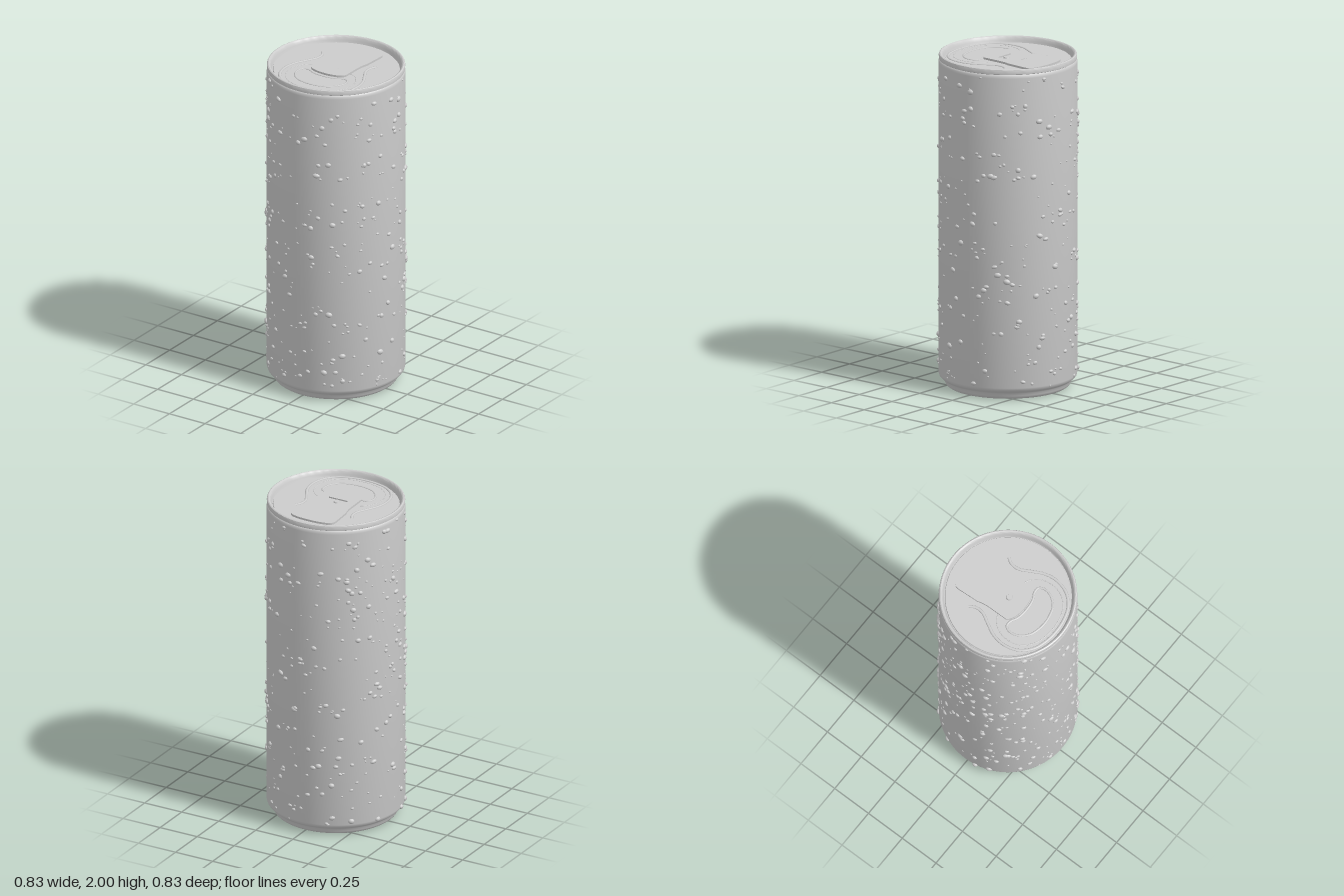
import * as THREE from 'three';
import { mergeGeometries, toCreasedNormals } from 'three/addons/utils/BufferGeometryUtils.js';

const LID_Y = 1.965;
const material = new THREE.MeshStandardMaterial({ color: 0xcccccc });

function addMesh(group, geometry, name) {
  const mesh = new THREE.Mesh(geometry, material);
  mesh.name = name;
  group.add(mesh);
  return mesh;
}

// Turns [radius, height] pairs into a lathed surface with crisp folds
function lathe(profile) {
  const points = profile.map(([r, y]) => new THREE.Vector2(r, y));
  return toCreasedNormals(new THREE.LatheGeometry(points, 96), 0.6);
}

// Low raised bead following [x, z] points on the lid
function bead(points, radius, closed = false) {
  const path = new THREE.CatmullRomCurve3(
    points.map(([x, z]) => new THREE.Vector3(x, 0, z)), closed);
  const geometry = new THREE.TubeGeometry(path, 120, radius, 8, closed);
  return geometry.scale(1, 0.6, 1).translate(0, LID_Y, 0);
}

// Appends the mirrored half of an [x, z] path that ends on the centre line
function mirrored(half) {
  const other = half.slice(0, -1).reverse().map(([x, z]) => [-x, z]);
  return [...half, ...other];
}

function pullTab() {
  // Half outline from the wide lifting end to the rounded nose; shape y = -z
  const s = new THREE.Shape();
  s.moveTo(0, 0.312);
  s.quadraticCurveTo(0.07, 0.312, 0.11, 0.3);
  s.quadraticCurveTo(0.148, 0.29, 0.146, 0.25);
  s.lineTo(0.138, 0.12);
  s.quadraticCurveTo(0.124, 0.08, 0.124, 0.02);
  s.lineTo(0.122, -0.08);
  s.quadraticCurveTo(0.1, -0.122, 0, -0.124);
  s.quadraticCurveTo(-0.1, -0.122, -0.122, -0.08);
  s.lineTo(-0.124, 0.02);
  s.quadraticCurveTo(-0.124, 0.08, -0.138, 0.12);
  s.lineTo(-0.146, 0.25);
  s.quadraticCurveTo(-0.148, 0.29, -0.11, 0.3);
  s.quadraticCurveTo(-0.07, 0.312, 0, 0.312);

  const fingerHole = new THREE.Path();
  fingerHole.absellipse(0, 0.197, 0.077, 0.08, 0, Math.PI * 2, true);
  const window = new THREE.Path();
  window.moveTo(-0.067, -0.036);
  window.lineTo(-0.067, 0.094);
  window.lineTo(0.058, 0.094);
  window.quadraticCurveTo(0.066, 0.094, 0.066, 0.086);
  window.lineTo(0.066, -0.036);
  window.closePath();
  s.holes.push(fingerHole, window);

  const geometry = new THREE.ExtrudeGeometry(s, { depth: 0.012, bevelEnabled: false, curveSegments: 20 });
  geometry.rotateX(-Math.PI / 2).translate(0, LID_Y + 0.004, 0);
  return toCreasedNormals(geometry, 0.6);
}

// Flattened water beads scattered over the wall
function droplets() {
  let seed = 7;
  const random = () => {
    seed = (seed * 16807) % 2147483647;
    return seed / 2147483647;
  };
  const parts = [];
  for (let i = 0; i < 580; i++) {
    const angle = random() * Math.PI * 2;
    const y = 0.075 + random() * 1.875;
    const size = 0.006 + 0.012 * random() ** 1.5;
    const drop = new THREE.SphereGeometry(1, 10, 7);
    drop.scale(size * (1 + 0.3 * random()), size * (0.75 + 0.25 * random()), size * 0.8);
    drop.rotateZ((random() - 0.5) * 0.8);
    drop.translate(0, y, 0.404).rotateY(angle);
    parts.push(drop);
  }
  return mergeGeometries(parts);
}

export function createModel() {
  const can = new THREE.Group();
  can.name = 'drinkCan';

  // Wall with stepped foot and closed base
  addMesh(can, lathe([
    [0, 0.003], [0.34, 0.003], [0.352, 0.005], [0.362, 0.012], [0.369, 0.025],
    [0.372, 0.04], [0.379, 0.047], [0.392, 0.056], [0.401, 0.066], [0.405, 0.08],
    [0.405, 1.945], [0.404, 1.958], [0.399, 1.966], [0.396, 1.968],
  ]), 'body');

  // Rolled seam around the top
  addMesh(can, lathe([
    [0.396, 1.966], [0.403, 1.97], [0.404, 1.99], [0.401, 1.997], [0.395, 2],
    [0.388, 1.998], [0.383, 1.992], [0.378, 1.975], [0.372, LID_Y - 0.006],
  ]), 'rim');

  // Recessed lid with a narrow gutter at its edge
  addMesh(can, lathe([
    [0.374, LID_Y - 0.006], [0.369, LID_Y - 0.006], [0.366, LID_Y], [0, LID_Y],
  ]).scale(-1, 1, 1).rotateY(0), 'lid').material = Object.assign(material.clone(), { side: THREE.DoubleSide });

  // Beads pressed into the lid
  addMesh(can, bead(mirrored([
    [-0.192, -0.145], [-0.172, -0.11], [-0.17, -0.06], [-0.205, 0.01], [-0.24, 0.08],
    [-0.252, 0.16], [-0.228, 0.25], [-0.165, 0.315], [-0.085, 0.345], [0, 0.354],
  ]), 0.009), 'outerBead');
  addMesh(can, bead(mirrored([
    [-0.11, 0.018], [-0.16, 0.04], [-0.2, 0.09], [-0.215, 0.16],
    [-0.198, 0.235], [-0.14, 0.297], [-0.07, 0.323], [0, 0.33],
  ]), 0.003), 'openingScore');
  const crescent = mirrored([
    [0, 0.135], [-0.07, 0.127], [-0.115, 0.106], [-0.15, 0.108], [-0.167, 0.145],
    [-0.155, 0.195], [-0.11, 0.245], [-0.055, 0.265], [0, 0.271],
  ]);
  addMesh(can, bead(crescent.slice(0, -1), 0.007, true), 'openingBead');

  // Pull tab, its folded tongue and rivet
  addMesh(can, pullTab(), 'pullTab');
  const tongue = addMesh(can, new THREE.BoxGeometry(0.133, 0.008, 0.006), 'tabFold');
  tongue.position.set(0, LID_Y + 0.008, 0.035);
  const rivet = addMesh(can, new THREE.CylinderGeometry(0.017, 0.02, 0.008, 24), 'rivet');
  rivet.position.set(0, LID_Y + 0.004, 0.01);

  addMesh(can, droplets(), 'droplets');
  return can;
}
